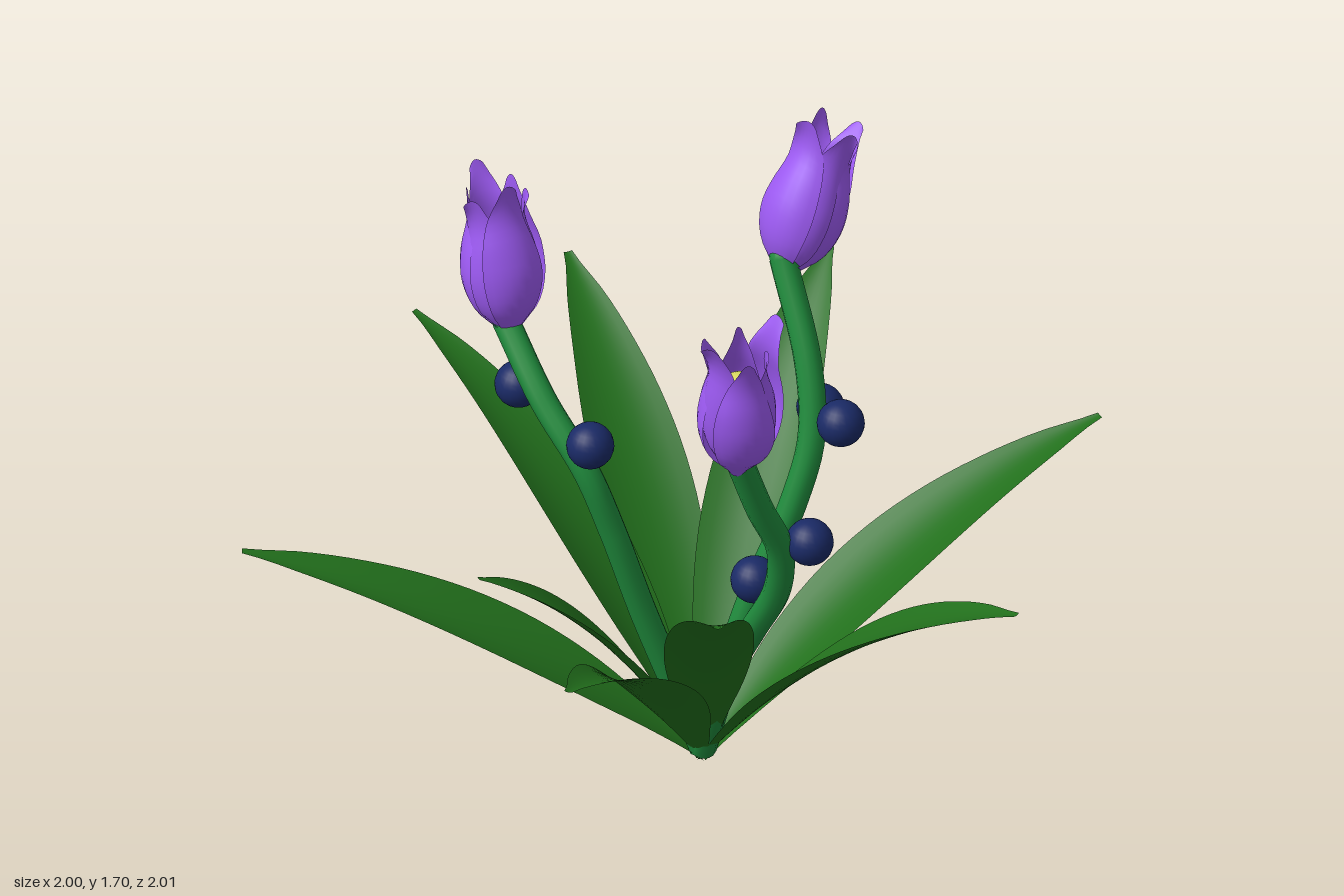
import * as THREE from 'three';

const material = (color, side = THREE.FrontSide) => new THREE.MeshStandardMaterial({ color, side });
const leafMat = material(0x22701c, THREE.DoubleSide);
const petalMat = material(0x9b59f0, THREE.DoubleSide);
const stemMat = material(0x1f8a3c);
const berryMat = material(0x1a2a66);
const pistilMat = material(0xd8d860);

const BASE = new THREE.Vector3(-0.04, 0.01, 0);
const UP = new THREE.Vector3(0, 1, 0);

// Smooth function of t through evenly spaced values
function profile(values) {
  const curve = new THREE.SplineCurve(values.map((v, i) => new THREE.Vector2(i, v)));
  return (t) => curve.getPoint(t).y;
}

// Surface strip: place(s, t) with s across (-1..1) and t along (0..1)
function strip(across, along, place) {
  const geo = new THREE.PlaneGeometry(2, 1, across, along);
  const pos = geo.attributes.position;
  for (let i = 0; i < pos.count; i++) {
    const p = place(pos.getX(i), pos.getY(i) + 0.5);
    pos.setXYZ(i, p.x, p.y, p.z);
  }
  geo.computeVertexNormals();
  return geo;
}

function add(parent, name, geo, mat) {
  const mesh = new THREE.Mesh(geo, mat);
  mesh.name = name;
  parent.add(mesh);
  return mesh;
}

// Leaf: arched blade from the base to its tip, slightly cupped upwards
const leafWidth = profile([0.02, 0.065, 0.11, 0.133, 0.134, 0.118, 0.09, 0.055, 0.012]);
function leafGeometry([x, y, z], scale) {
  const tip = new THREE.Vector3(x, y, z);
  const bend = BASE.clone().lerp(tip, 0.45).setY(y * 0.77);
  const spine = new THREE.QuadraticBezierCurve3(BASE, bend, tip);
  const side = new THREE.Vector3(z - BASE.z, 0, BASE.x - x).normalize();
  return strip(8, 28, (s, t) => {
    const w = leafWidth(t) * scale;
    const normal = spine.getTangent(t).cross(side).normalize();
    return spine.getPoint(t).addScaledVector(side, s * w)
      .addScaledVector(normal, 0.22 * w * (s * s - 0.5));
  });
}

// Petal: wrapped around the flower axis, with a narrow flared tip
const petalRadius = profile([0.018, 0.083, 0.108, 0.102, 0.077, 0.07]);
const petalWidth = profile([0.02, 0.07, 0.092, 0.082, 0.05, 0.014]);
function petalGeometry(angle, inner, flare, length) {
  return strip(8, 18, (s, t) => {
    const r0 = petalRadius(t);
    const a = angle + s * petalWidth(t) / r0;
    const ripple = 0.006 * Math.sin(t * 9 + angle * 3) * s * t;
    const r = r0 * (inner ? 0.88 : 1) + flare * t ** 6 + ripple + 0.006 * s * t;
    return new THREE.Vector3(r * Math.cos(a), length * t - 0.015 * s * s * t, r * Math.sin(a));
  });
}

function flower(base, axis, turn) {
  const group = new THREE.Group();
  group.name = 'flower';
  for (let i = 0; i < 6; i++) {
    const inner = i % 2 === 1;
    const flare = 0.025 + 0.03 * Math.sin(i * 2.4 + turn);
    const length = 0.42 + 0.025 * Math.cos(i * 1.9 + turn);
    add(group, inner ? 'innerPetal' : 'outerPetal',
      petalGeometry(turn + i * Math.PI / 3, inner, flare, length), petalMat);
  }
  add(group, 'pistil', new THREE.SphereGeometry(0.06, 20, 14), pistilMat).position.y = 0.25;
  group.position.set(...base);
  group.quaternion.setFromUnitVectors(UP, new THREE.Vector3(...axis).normalize());
  return group;
}

export function createModel() {
  const model = new THREE.Group();
  model.name = 'floweringPlant';

  // Leaves: tip position and width scale
  const leaves = [
    [[0.47, 0.75, -1.0], 1.03], [[-0.31, 1.02, -0.87], 0.95], [[-0.86, 0.98, -0.48], 0.95],
    [[-1.0, 0.98, -0.02], 0.75], [[-0.97, 0.64, 0.73], 0.95], [[-0.29, 0.77, 0.61], 0.7],
    [[0.31, 0.87, 1.0], 0.92], [[0.57, 1.02, 0.71], 0.85], [[1.0, 0.88, 0.02], 1],
  ];
  for (const [tip, scale] of leaves) add(model, 'leaf', leafGeometry(tip, scale), leafMat);

  // Stems, each with two berries and a flower
  const stalks = [
    {
      path: [[-0.15, 0.45, 0.1], [-0.21, 0.72, 0.16], [-0.27, 0.9, 0.195], [-0.41, 1.05, 0.19], [-0.57, 1.21, 0.145]],
      berries: [[-0.25, 0.985, 0.2], [-0.54, 1.02, 0.13]],
      flower: [[-0.555, 1.175, 0.145], [-0.22, 1, -0.1], 0.5],
    },
    {
      path: [[0.03, 0.45, -0.1], [0.1, 0.75, -0.2], [0.11, 0.92, -0.26], [0.06, 1.1, -0.31], [-0.07, 1.34, -0.37]],
      berries: [[0.06, 0.94, -0.36], [0.19, 0.985, -0.28]],
      flower: [[-0.075, 1.28, -0.37], [0.02, 0.85, -0.5], 1.6],
    },
    {
      path: [[0.08, 0.33, 0.07], [0.21, 0.56, 0.11], [0.31, 0.74, 0.135], [0.345, 0.9, 0.17], [0.335, 1.05, 0.24], [0.32, 1.26, 0.32]],
      berries: [[0.2, 0.7, 0.09], [0.4, 0.91, 0.115]],
      flower: [[0.325, 1.2, 0.32], [0.06, 1, 0.03], 2.8],
    },
  ];
  for (const stalk of stalks) {
    const curve = new THREE.CatmullRomCurve3([BASE.clone().setY(0.04), ...stalk.path.map((p) => new THREE.Vector3(...p))]);
    add(model, 'stem', new THREE.TubeGeometry(curve, 40, 0.036, 12), stemMat);
    // Rounded stem end
    add(model, 'stemTip', new THREE.SphereGeometry(0.036, 12, 8), stemMat).position.copy(curve.getPoint(1));
    for (const spot of stalk.berries) {
      add(model, 'berry', new THREE.SphereGeometry(0.062, 20, 14), berryMat).position.set(...spot);
    }
    model.add(flower(...stalk.flower));
  }
  return model;
}
